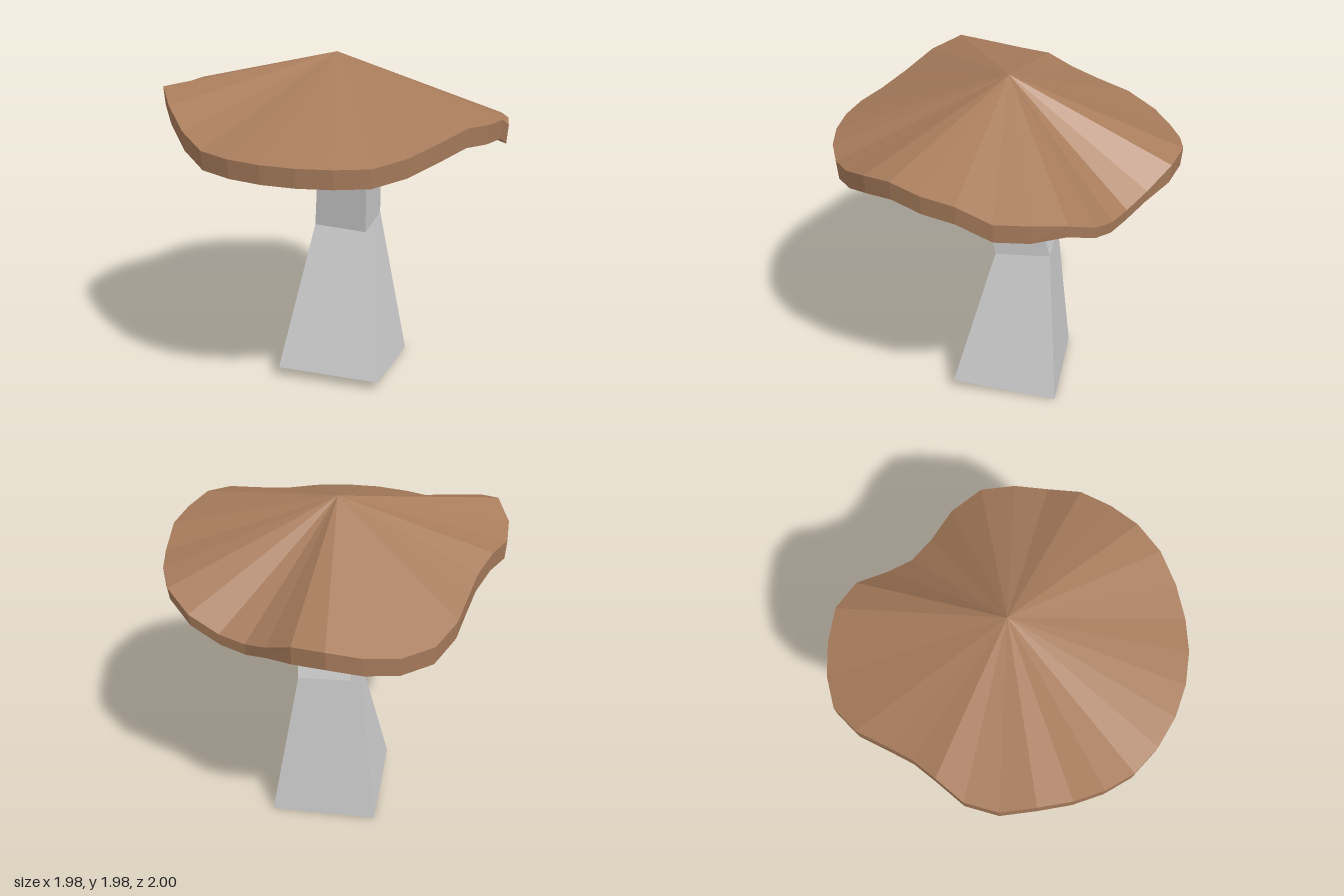
import * as THREE from 'three';

// Flat-shaded mesh from a list of triangles (each three Vector3)
function facetMesh(name, triangles, color) {
  const geometry = new THREE.BufferGeometry().setFromPoints(triangles.flat());
  geometry.computeVertexNormals();
  const mesh = new THREE.Mesh(geometry, new THREE.MeshStandardMaterial({ color, flatShading: true }));
  mesh.name = name;
  return mesh;
}

// Triangles joining a lower ring to an upper ring, facing outwards
function band(lower, upper) {
  const out = [];
  lower.forEach((a, i) => {
    const j = (i + 1) % lower.length;
    out.push([a, lower[j], upper[j]], [a, upper[j], upper[i]]);
  });
  return out;
}

// Triangles from a tip to a ring, facing up or down
function fan(tip, ring, up) {
  return ring.map((a, i) => {
    const b = ring[(i + 1) % ring.length];
    return up ? [tip, a, b] : [tip, b, a];
  });
}

// Cap: wavy rim, running from the front (+z) round by +x
function createCap() {
  const radius = [
    1, 1, 1, 1, 0.99, 0.99, 0.99, 0.99, 0.99, 0.99, 0.94, 0.855, 0.82, 0.855, 0.94, 0.99,
    1, 1.01, 1.01, 0.955, 0.88, 0.85, 0.885, 0.955, 0.99, 0.99, 0.99, 0.99, 1, 1, 1, 1];
  const height = [
    1.6, 1.6, 1.64, 1.7, 1.735, 1.71, 1.69, 1.605, 1.595, 1.57, 1.49, 1.42, 1.41, 1.46, 1.55, 1.565,
    1.53, 1.51, 1.53, 1.59, 1.64, 1.69, 1.74, 1.73, 1.76, 1.82, 1.76, 1.665, 1.605, 1.6, 1.6, 1.6];
  const top = [], bottom = [];
  radius.forEach((r, i) => {
    const angle = (i / radius.length) * Math.PI * 2;
    const x = Math.sin(angle) * r, z = Math.cos(angle) * r;
    const thickness = i >= 9 && i <= 13 ? 0.07 : 0.11;
    top.push(new THREE.Vector3(x, height[i], z));
    bottom.push(new THREE.Vector3(x * 0.99, height[i] - thickness, z * 0.99));
  });
  const cap = new THREE.Group();
  cap.name = 'cap';
  const brown = 0xa87c5c;
  cap.add(
    facetMesh('capTop', fan(new THREE.Vector3(0, 1.98, 0), top, true), brown),
    facetMesh('capRim', band(bottom, top), brown),
    facetMesh('capUnderside', fan(new THREE.Vector3(0, 1.87, 0), bottom, false), brown));
  return cap;
}

// Stem: three tilted four-sided sections, each wider towards the ground
function createStem() {
  const rings = [
    [[-0.35, 0.065, 0.19], [0.25, 0.06, 0.37], [0.43, 0, -0.23], [-0.17, 0.005, -0.41]],
    [[-0.13, 0.93, 0.01], [0.17, 0.915, 0.1], [0.26, 0.93, -0.21], [-0.04, 0.945, -0.3]],
    [[-0.09, 1.76, 0.19], [0.17, 1.76, 0.27], [0.25, 1.76, 0.01], [-0.01, 1.76, -0.06]],
  ].map((ring) => ring.map((p) => new THREE.Vector3(...p)));
  const [base, middle, top] = rings;
  const ends = [
    [base[0], base[2], base[1]], [base[0], base[3], base[2]],
    [top[0], top[1], top[2]], [top[0], top[2], top[3]]];
  return facetMesh('stem', [...band(base, middle), ...band(middle, top), ...ends], 0xcccccc);
}

export function createModel() {
  const model = new THREE.Group();
  model.name = 'mushroom';
  model.add(createStem(), createCap());
  return model;
}
